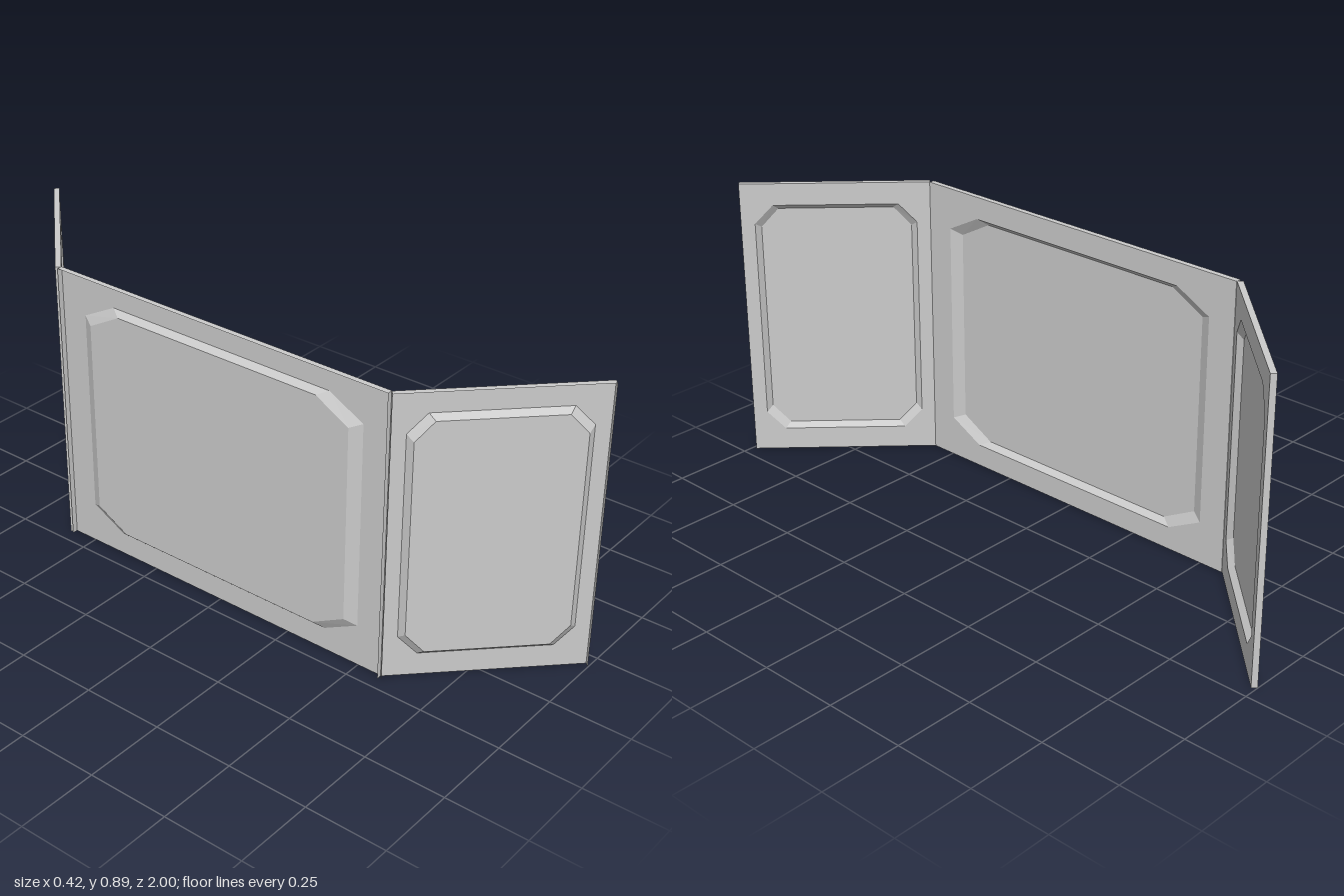
import * as THREE from 'three';

const HEIGHT = 0.895, DEPTH = 0.0175, WING = 0.577;

const material = new THREE.MeshStandardMaterial({
  color: 0xcccccc, flatShading: true, side: THREE.DoubleSide,
});

// Rectangle with clipped corners, counter-clockwise
function octagon(halfW, y0, y1, cx, cy) {
  return [
    [halfW, y0 + cy], [halfW, y1 - cy], [halfW - cx, y1], [cx - halfW, y1],
    [-halfW, y1 - cy], [-halfW, y0 + cy], [cx - halfW, y0], [halfW - cx, y0],
  ].map(([x, y]) => new THREE.Vector2(x, y));
}

// Flat-sided strip between two rows of points
function strip(a, b) {
  const pos = [];
  for (let i = 0; i < a.length - 1; i++) {
    for (const p of [a[i], a[i + 1], b[i + 1], a[i], b[i + 1], b[i]]) pos.push(...p);
  }
  const geo = new THREE.BufferGeometry();
  geo.setAttribute('position', new THREE.Float32BufferAttribute(pos, 3));
  geo.computeVertexNormals();
  return geo;
}

// Pressed sheet panel: inner face at local z = 0, stamped field at z = -DEPTH
function panel(name, width) {
  const group = new THREE.Group();
  group.name = name;
  const add = (part, geo) => {
    const mesh = new THREE.Mesh(geo, material);
    mesh.name = part;
    group.add(mesh);
    return mesh;
  };
  const s = width / WING, w = width / 2;
  const outer = octagon(0.246 * s, 0.071, 0.826, 0.056 * s, 0.059);
  const inner = octagon(0.2285 * s, 0.087, 0.81, 0.054 * s, 0.059);

  // Flat border with the clipped opening
  const border = new THREE.Shape([[-w, 0], [w, 0], [w, HEIGHT], [-w, HEIGHT]]
    .map(([x, y]) => new THREE.Vector2(x, y)));
  border.holes.push(new THREE.Path([...outer].reverse()));
  add('border', new THREE.ShapeGeometry(border));

  // Sunken field and the sloped band around it
  add('field', new THREE.ShapeGeometry(new THREE.Shape(inner))).position.z = -DEPTH;
  const ring = (pts, z) => [...pts, pts[0]].map((p) => [p.x, p.y, z]);
  add('bevel', strip(ring(outer, 0), ring(inner, -DEPTH)));

  // Folded edge along both sides and the top
  const edge = (z) => [[w, 0, z], [w, HEIGHT, z], [-w, HEIGHT, z], [-w, 0, z]];
  add('foldedEdge', strip(edge(-DEPTH), edge(0)));
  return group;
}

export function createModel() {
  const model = new THREE.Group();
  model.name = 'foldingScreen';

  const centre = panel('centrePanel', 1.158);
  centre.position.x = -0.195;
  centre.rotation.y = Math.PI / 2;
  model.add(centre);

  // Angled wings at both ends
  for (const side of [-1, 1]) {
    const wing = panel(side > 0 ? 'frontWing' : 'backWing', WING);
    wing.position.set(0.007, 0, 0.783 * side);
    wing.rotation.y = Math.PI / 2 + side * Math.PI / 4;
    model.add(wing);
  }
  return model;
}
